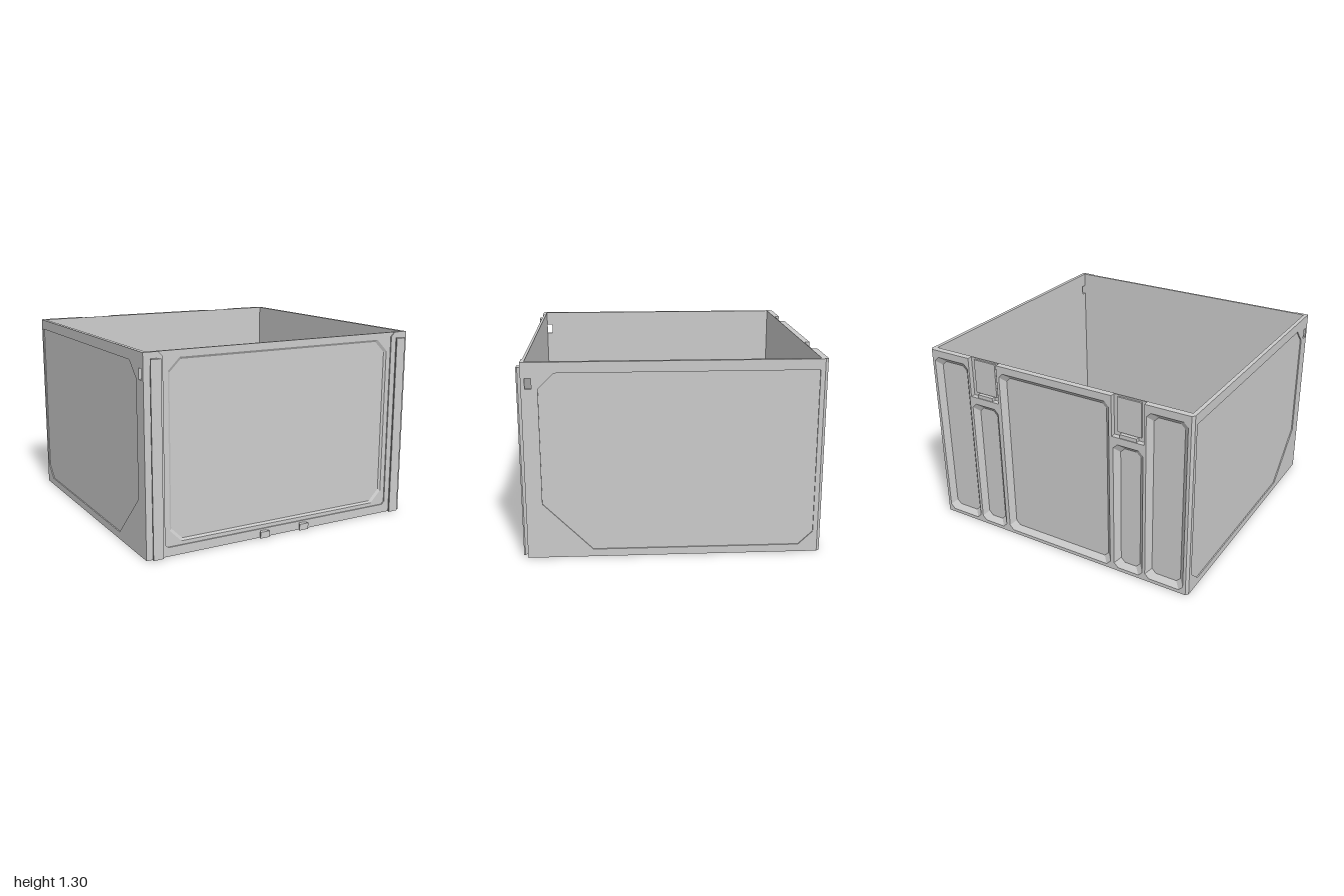
import * as THREE from 'three';

const mat = new THREE.MeshStandardMaterial({ color: 0xcccccc, flatShading: true, side: THREE.DoubleSide });

// Extruded plate between d0 and d1 along an axis.
// Shape axes: z -> (x, y), y -> (x, -z), x -> (-z, y)
function plate(name, outline, holes, d0, d1, axis) {
  const shape = new THREE.Shape(outline);
  for (const h of holes) shape.holes.push(new THREE.Path(h));
  const g = new THREE.ExtrudeGeometry(shape, { depth: d1 - d0, bevelEnabled: false });
  if (axis === 'y') g.rotateX(-Math.PI / 2).translate(0, d0, 0);
  else if (axis === 'x') g.rotateY(Math.PI / 2).translate(d0, 0, 0);
  else g.translate(0, 0, d0);
  const m = new THREE.Mesh(g, mat);
  m.name = name;
  return m;
}

// Sloped band joining two loops of equal length
function band(name, a, b, da, db, axis) {
  const at = (p, d) => axis === 'y' ? [p.x, d, -p.y] : [p.x, p.y, d];
  const pos = [];
  a.forEach((p, i) => {
    const j = (i + 1) % a.length;
    const [A, B, C, D] = [at(p, da), at(a[j], da), at(b[j], db), at(b[i], db)];
    pos.push(...A, ...B, ...C, ...A, ...C, ...D);
  });
  const g = new THREE.BufferGeometry();
  g.setAttribute('position', new THREE.Float32BufferAttribute(pos, 3));
  g.computeVertexNormals();
  const m = new THREE.Mesh(g, mat);
  m.name = name;
  return m;
}

const v = (x, y) => new THREE.Vector2(x, y);
const pts = (list) => list.map(([x, y]) => v(x, y));
const rect = (x0, y0, x1, y1) => pts([[x0, y0], [x1, y0], [x1, y1], [x0, y1]]);
const cut = (x0, y0, x1, y1, c) => pts([[x0 + c, y0], [x1 - c, y0], [x1, y0 + c], [x1, y1 - c],
  [x1 - c, y1], [x0 + c, y1], [x0, y1 - c], [x0, y0 + c]]);
const circle = (x, y, r) => new THREE.Path().absarc(x, y, r, 0, Math.PI * 2).getPoints(16).slice(0, -1);

function roundRect(x0, y0, x1, y1, r) {
  const out = [];
  [[x1 - r, y1 - r], [x0 + r, y1 - r], [x0 + r, y0 + r], [x1 - r, y0 + r]].forEach(([cx, cy], q) => {
    for (let i = 0; i <= 4; i++) {
      const a = (q + i / 4) * Math.PI / 2;
      out.push(v(cx + r * Math.cos(a), cy + r * Math.sin(a)));
    }
  });
  return out;
}

// Cross-shaped opening that leaves a rounded screw pad in each cell corner
function crossHole(cx, cy) {
  const quarter = pts([[0.225, -0.07], [0.225, 0.07], [0.2, 0.1], [0.15, 0.1], [0.128, 0.106],
    [0.106, 0.128], [0.1, 0.15], [0.1, 0.2]]);
  const out = [];
  for (let q = 0; q < 4; q++)
    for (const p of quarter) out.push(p.clone().rotateAround(v(0, 0), q * Math.PI / 2).add(v(cx, cy)));
  return out;
}

function buildFloor(g) {
  const crosses = [], screws = [], sinks = [], cells = [];
  for (const x of [-0.645, -0.13, 0.385]) for (const y of [-0.515, 0, 0.515]) {
    crosses.push(crossHole(x, y));
    for (const sx of [-0.16, 0.16]) for (const sy of [-0.16, 0.16]) {
      screws.push(circle(x + sx, y + sy, 0.018));
      sinks.push(circle(x + sx, y + sy, 0.036));
    }
    const ring = (h, r) => roundRect(x - h, y - h, x + h, y + h, r);
    cells.push([ring(0.25, 0.05), ring(0.228, 0.04)]);
  }
  const outer = rect(-0.98, -0.92, 0.98, 0.94);
  g.add(plate('floorPlate', outer, [...crosses, ...screws], 0, 0.03, 'y'));
  g.add(plate('screwPads', outer, [...crosses, ...sinks], 0.03, 0.04, 'y'));

  // Long side tray with two narrowed waists
  const tray = (d) => pts([[0.65 + d, -0.76 + d], [0.89 - d, -0.76 + d], [0.89 - d, -0.29], [0.86 - d, -0.28],
    [0.86 - d, -0.23], [0.89 - d, -0.22], [0.89 - d, 0.22], [0.86 - d, 0.23], [0.86 - d, 0.28], [0.89 - d, 0.29],
    [0.89 - d, 0.76 - d], [0.65 + d, 0.76 - d], [0.65 + d, 0.29], [0.68 + d, 0.28], [0.68 + d, 0.23],
    [0.65 + d, 0.22], [0.65 + d, -0.22], [0.68 + d, -0.23], [0.68 + d, -0.28], [0.65 + d, -0.29]]);
  cells.push([tray(0), tray(0.012)]);

  // Raised grid with sloped skirt and sloped cells
  const top = rect(-0.92, -0.775, 0.92, 0.785);
  g.add(plate('gridTop', top, cells.map((c) => c[0]), 0.09, 0.1, 'y'));
  g.add(band('gridSkirt', rect(-0.97, -0.82, 0.97, 0.83), top, 0.04, 0.1, 'y'));
  for (const [a, b] of cells) g.add(band('cellWall', a, b, 0.1, 0.04, 'y'));
}

function buildSides(g) {
  const outline = rect(-0.945, 0, 0.955, 1.3);
  const slot = rect(-0.92, 1.13, -0.88, 1.2);
  const panel = pts([[-0.84, 0.37], [-0.52, 0.05], [0.83, 0.05], [0.925, 0.14], [0.925, 1.23], [-0.74, 1.23], [-0.84, 1.13]]);
  for (const s of [1, -1]) {
    const layer = (name, holes, a, b) =>
      g.add(plate(name, outline, holes, s > 0 ? a : -b, s > 0 ? b : -a, 'x'));
    layer('sideWall', [slot], 0.973, 0.992);
    layer('sideFrame', [slot, panel], 0.992, 1);
  }
}

function buildFront(g) {
  g.add(plate('frontWall', rect(-0.98, 0, 0.98, 1.3), [], 0.92, 0.927, 'z'));
  const a = cut(-0.835, 0.085, 0.835, 1.255, 0.08), b = cut(-0.82, 0.1, 0.82, 1.24, 0.075);
  g.add(plate('frontFrame', rect(-0.98, 0, 0.98, 1.3), [a], 0.927, 0.937, 'z'));
  g.add(band('frontPanelEdge', a, b, 0.937, 0.927, 'z'));
  // Raised posts and sill
  g.add(plate('frontPosts', pts([[-0.98, 0], [0.98, 0], [0.98, 1.3], [0.9, 1.3], [0.87, 1.27], [0.87, 0.08],
    [0.85, 0.06], [-0.85, 0.06], [-0.87, 0.08], [-0.87, 1.27], [-0.9, 1.3], [-0.98, 1.3]]), [], 0.937, 0.945, 'z'));
  // Dovetail rails and lower clips
  const dovetail = (name, x, y0, y1) => g.add(plate(name, pts([[x - 0.02, -0.945], [x - 0.02, -0.95],
    [x - 0.035, -0.966], [x - 0.035, -0.975], [x + 0.035, -0.975], [x + 0.035, -0.966],
    [x + 0.02, -0.95], [x + 0.02, -0.945]]), [], y0, y1, 'y'));
  for (const s of [-1, 1]) {
    dovetail('dovetailRail', s * 0.93, 0.005, 1.26);
    dovetail('lowerClip', s * 0.155, 0.005, 0.048);
  }
}

function buildBack(g) {
  g.add(plate('backWall', rect(-0.98, 0, 0.98, 1.3), [], -0.94, -0.932, 'z'));
  // Outline with two latch notches in the top edge
  const outline = pts([[-0.985, 0], [0.985, 0], [0.985, 1.3], [0.67, 1.3], [0.67, 1.02], [0.44, 1.02], [0.44, 1.3],
    [-0.44, 1.3], [-0.44, 1.02], [-0.67, 1.02], [-0.67, 1.3], [-0.985, 1.3]]);
  const pockets = [[-0.42, 0.42, 1.25]];
  for (const s of [-1, 1])
    for (const [a, b, h] of [[0.45, 0.665, 0.97], [0.685, 0.965, 1.25]])
      pockets.push([Math.min(s * a, s * b), Math.max(s * a, s * b), h]);
  const mouths = pockets.map(([a, b, h]) => cut(a, 0.025, b, h, 0.03));
  g.add(plate('backFrame', outline, mouths, -0.975, -0.94, 'z'));
  pockets.forEach(([a, b, h], i) => g.add(band('pocketSlope', mouths[i],
    cut(a + 0.035, 0.06, b - 0.035, h - 0.035, 0.03), -0.975, -0.94, 'z')));
  for (const s of [-1, 1]) {
    // Chamfered rear corners
    const edge = pts([[0.973, -0.94], [1, -0.955], [0.985, -0.975], [0.973, -0.975]]).map((p) => v(s * p.x, -p.y));
    g.add(plate('rearCorner', edge, [], 0, 1.3, 'y'));
    // Latch seat inside the notch
    g.add(plate('latchSeat', rect(s * 0.555 - 0.085, 1.05, s * 0.555 + 0.085, 1.29), [], -0.952, -0.94, 'z'));
    g.add(plate('latchLip', rect(s * 0.555 - 0.06, 1.02, s * 0.555 + 0.06, 1.045), [], -0.97, -0.94, 'z'));
  }
}

export function createModel() {
  const model = new THREE.Group();
  model.name = 'storageBin';
  for (const [name, build] of [['floor', buildFloor], ['sides', buildSides], ['front', buildFront], ['back', buildBack]]) {
    const part = new THREE.Group();
    part.name = name;
    build(part);
    model.add(part);
  }
  return model;
}
